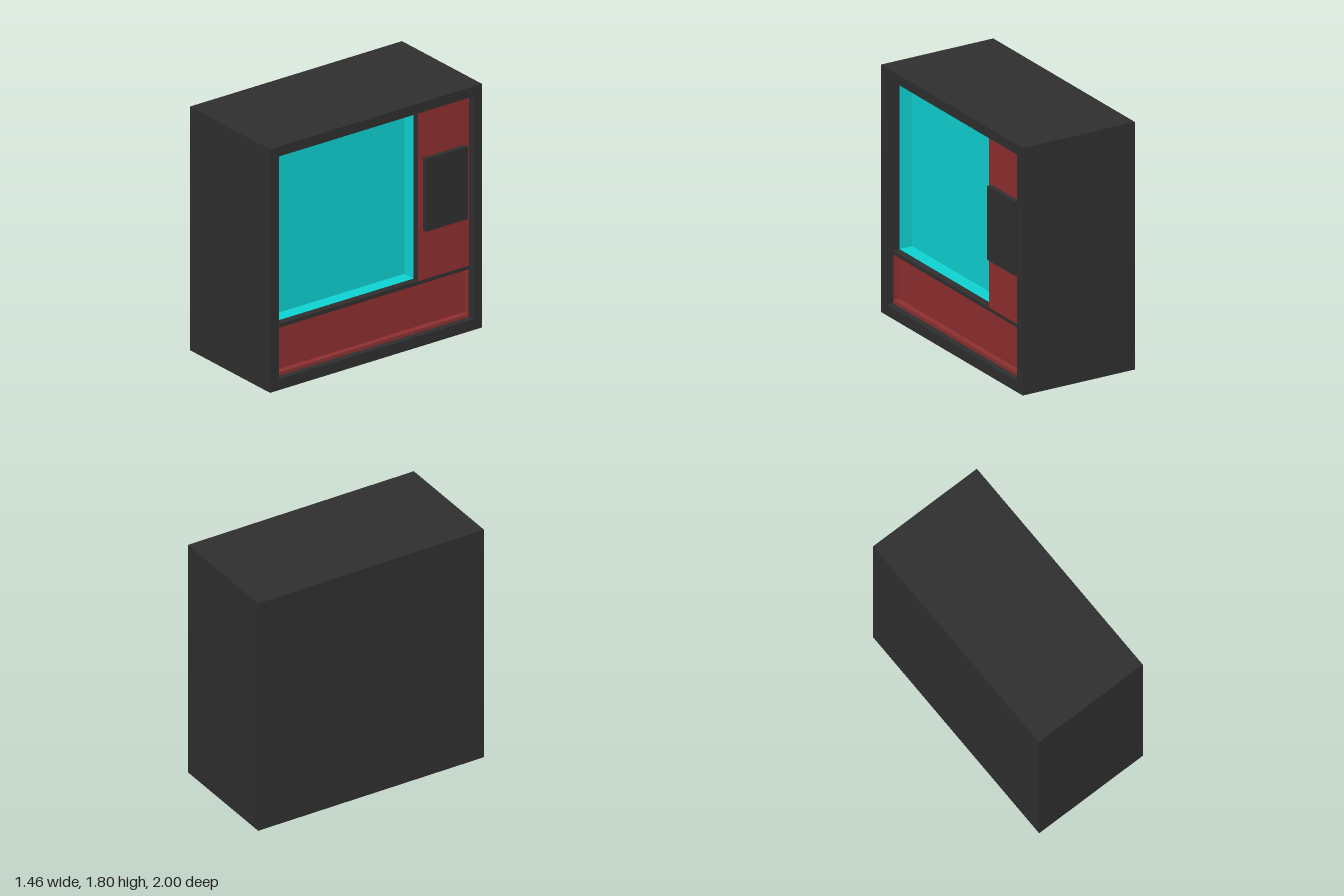
import * as THREE from 'three';

export function createModel() {
  const model = new THREE.Group();
  model.name = 'cabinet';
  const mat = (name, color) => {
    const m = new THREE.MeshStandardMaterial({ color });
    m.name = name;
    return m;
  };
  const grey = mat('charcoal', 0x2f2f2f);
  const red = mat('dark red', 0x902f2f);
  const cyan = mat('cyan', 0x0fd3d3);

  // Everything is built with the open face on local +z, then turned.
  const body = new THREE.Group();
  body.name = 'cabinetBody';
  body.rotation.y = THREE.MathUtils.degToRad(70);
  model.add(body);

  const add = (name, geometry, material) => {
    const mesh = new THREE.Mesh(geometry, material);
    mesh.name = name;
    body.add(mesh);
    return mesh;
  };
  const block = (name, [x0, y0, x1, y1], z0, z1, material) =>
    add(name, new THREE.BoxGeometry(x1 - x0, y1 - y0, z1 - z0), material)
      .position.set((x0 + x1) / 2, (y0 + y1) / 2, (z0 + z1) / 2);

  const trace = (path, [x0, y0, x1, y1]) =>
    path.moveTo(x0, y0).lineTo(x1, y0).lineTo(x1, y1).lineTo(x0, y1).closePath();

  // A slab of the cabinet with rectangular openings
  const slab = (name, holes, z0, z1) => {
    const shape = new THREE.Shape();
    trace(shape, outer);
    for (const h of holes) {
      const hole = new THREE.Path();
      trace(hole, h);
      shape.holes.push(hole);
    }
    const g = new THREE.ExtrudeGeometry(shape, { depth: z1 - z0, bevelEnabled: false });
    add(name, g.translate(0, 0, z0), grey);
  };

  // Inward-facing lining of a recess: a box turned inside out without its front
  const lining = (name, [x0, y0, x1, y1], z0, z1, material) => {
    const e = 0.003;
    const g = new THREE.BoxGeometry(x1 - x0 - 2 * e, y1 - y0 - 2 * e, z1 - z0 - e);
    const index = Array.from(g.index.array).filter((_, i) => i < 24 || i >= 30);
    g.clearGroups();
    g.setIndex(index);
    g.scale(-1, 1, 1);
    g.computeVertexNormals();
    add(name, g, material).position.set((x0 + x1) / 2, (y0 + y1) / 2, (z0 + e + z1) / 2);
  };

  const outer = [-0.9, 0, 0.9, 1.8];
  const opening = [-0.825, 0.08, 0.825, 1.727];
  const screen = [-0.825, 0.46, 0.395, 1.727];
  const tray = [-0.825, 0.1, 0.825, 0.433];
  const zBack = -0.4475, zScreen = 0.246, zTray = 0.35, zPanel = 0.3975, zFront = 0.4475;

  // Cabinet layers from back to front
  block('cabinetBack', outer, zBack, zScreen, grey);
  slab('screenSurround', [screen], zScreen, zTray);
  slab('panelSurround', [screen, tray], zTray, zPanel);
  slab('frontFrame', [opening], zPanel, zFront);

  // Coloured recesses
  lining('screenRecess', screen, zScreen, zTray, cyan);
  lining('trayRecess', tray, zTray, zPanel, red);

  // Flat red faces beside the screen and below the tray
  block('controlPanel', [0.395, 0.46, 0.825, 1.727], zPanel, zPanel + 0.003, red);
  block('trayLip', [-0.825, 0.08, 0.825, 0.1], zPanel, zPanel + 0.003, red);

  // Raised control box
  block('controlBox', [0.432, 0.83, 0.784, 1.365], zPanel, 0.44, grey);

  return model;
}
